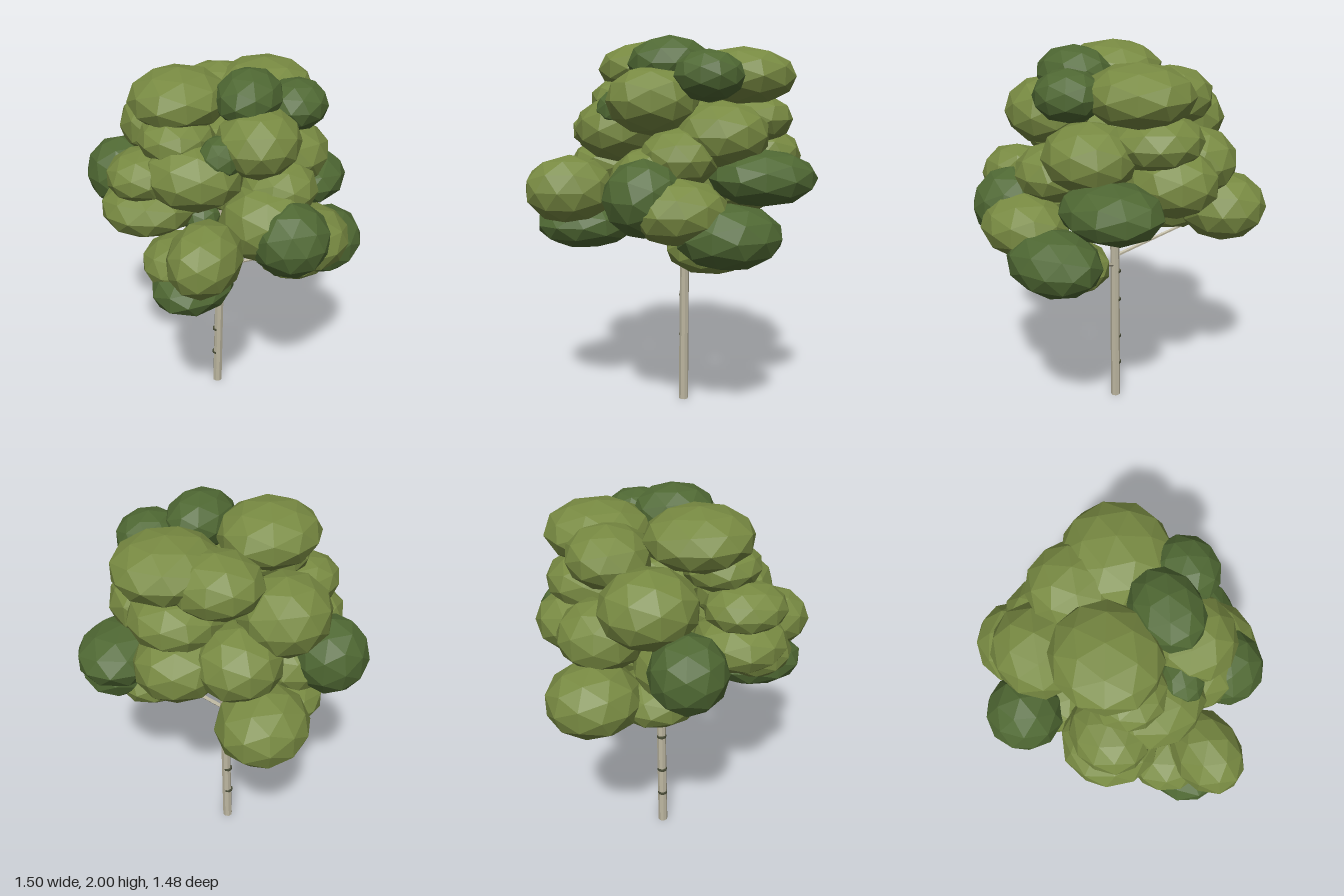
import * as THREE from 'three';

const paint = (name, color) => {
  const m = new THREE.MeshStandardMaterial({ color, flatShading: true });
  m.name = name;
  return m;
};

// Leaf clumps: x, y, z, then half sizes in x, y, z
const LIGHT = [
  // crown
  [-0.16, 1.84, 0.06, 0.25, 0.15, 0.27], [0.14, 1.8, -0.39, 0.26, 0.15, 0.27],
  [-0.1, 1.76, -0.37, 0.23, 0.15, 0.21], [0.26, 1.68, 0.1, 0.21, 0.17, 0.23],
  [-0.13, 1.68, 0.18, 0.19, 0.12, 0.2],
  // middle
  [-0.38, 1.6, -0.22, 0.22, 0.19, 0.24], [0.07, 1.58, -0.45, 0.23, 0.14, 0.22],
  [0.32, 1.51, -0.24, 0.22, 0.17, 0.24], [-0.02, 1.53, 0.25, 0.25, 0.17, 0.22],
  [-0.27, 1.51, 0.27, 0.18, 0.125, 0.21], [-0.25, 1.42, -0.43, 0.21, 0.18, 0.22],
  [0.02, 1.38, -0.5, 0.22, 0.17, 0.24], [-0.26, 1.33, 0.25, 0.24, 0.14, 0.24],
  [0.34, 1.4, -0.02, 0.2, 0.15, 0.2], [-0.37, 1.27, -0.1, 0.2, 0.16, 0.2],
  // inner clumps around the trunk top
  [0.02, 1.57, -0.08, 0.2, 0.15, 0.22], [0.0, 1.27, -0.23, 0.18, 0.15, 0.18],
  // lower skirt
  [-0.41, 1.16, -0.5, 0.22, 0.18, 0.235], [-0.36, 1.11, -0.19, 0.21, 0.13, 0.22],
  [0.31, 1.26, 0.11, 0.23, 0.2, 0.22], [0.52, 1.16, 0.01, 0.2, 0.16, 0.24],
  [0.4, 0.96, -0.17, 0.2, 0.13, 0.22], [0.135, 1.23, 0.51, 0.175, 0.175, 0.23],
  [-0.02, 1.13, 0.4, 0.2, 0.14, 0.2],
];
const DARK = [
  [0.18, 1.86, 0, 0.165, 0.14, 0.21], [0.375, 1.8, -0.16, 0.16, 0.125, 0.175],
  [0.12, 1.63, 0.24, 0.11, 0.11, 0.13], [0.38, 1.3, -0.44, 0.22, 0.14, 0.27],
  [0.55, 1.04, -0.23, 0.2, 0.16, 0.26], [0.46, 1.22, 0.17, 0.2, 0.19, 0.2],
  [-0.56, 1.34, -0.07, 0.19, 0.195, 0.19], [0.04, 1.04, 0.42, 0.2, 0.13, 0.26],
  [-0.1, 1.13, -0.1, 0.11, 0.1, 0.13],
];

export function createModel() {
  const tree = new THREE.Group();
  tree.name = 'tree';
  const lightLeaf = paint('lightLeaf', 0x788a42);
  const darkLeaf = paint('darkLeaf', 0x4f6833);
  const bark = paint('bark', 0xbcb6a0);
  const scar = paint('barkScar', 0x4a4d38);

  // Tapered limb between two points
  const limb = (name, a, b, r0, r1, sides) => {
    const from = new THREE.Vector3(...a), to = new THREE.Vector3(...b);
    const dir = to.clone().sub(from);
    const mesh = new THREE.Mesh(new THREE.CylinderGeometry(r1, r0, dir.length(), sides), bark);
    mesh.position.copy(from).add(to).multiplyScalar(0.5);
    mesh.quaternion.setFromUnitVectors(new THREE.Vector3(0, 1, 0), dir.normalize());
    mesh.name = name;
    tree.add(mesh);
  };

  // Slightly leaning trunk and the branches that hold the clumps
  limb('trunk', [-0.017, 0, -0.112], [0.004, 1.22, -0.112], 0.027, 0.024, 8);
  const branches = [
    [[0, 0.87, -0.11], [-0.36, 1.05, -0.36]],
    [[0, 0.82, -0.11], [0.36, 0.95, -0.15]],
    [[0, 0.93, -0.11], [0.04, 1.08, 0.36]],
    [[0, 1.02, -0.11], [0.4, 1.2, 0.12]],
    [[0, 1.1, -0.11], [-0.3, 1.3, 0.15]],
  ];
  for (const [a, b] of branches) limb('branch', a, b, 0.011, 0.008, 6);

  // Dark scars wrapped around one side of the bark
  for (const y of [0.21, 0.38, 0.61, 0.78]) {
    const mark = new THREE.Mesh(new THREE.CylinderGeometry(0.027, 0.027, 0.012, 8), scar);
    mark.position.set(-0.025 + 0.017 * y, y, -0.112);
    mark.name = 'barkScar';
    tree.add(mark);
  }

  // Faceted leaf clumps, each turned a little differently before being flattened
  const addClumps = (list, material, name) => {
    const group = new THREE.Group();
    group.name = name;
    list.forEach(([x, y, z, rx, ry, rz], i) => {
      const geo = new THREE.IcosahedronGeometry(1, 1);
      geo.rotateY(i * 1.7);
      geo.scale(rx * 1.02, ry * 1.02, rz * 1.02);
      const clump = new THREE.Mesh(geo, material);
      clump.position.set(x, y, z);
      clump.name = 'leafClump';
      group.add(clump);
    });
    tree.add(group);
  };
  addClumps(LIGHT, lightLeaf, 'lightFoliage');
  addClumps(DARK, darkLeaf, 'darkFoliage');
  return tree;
}
